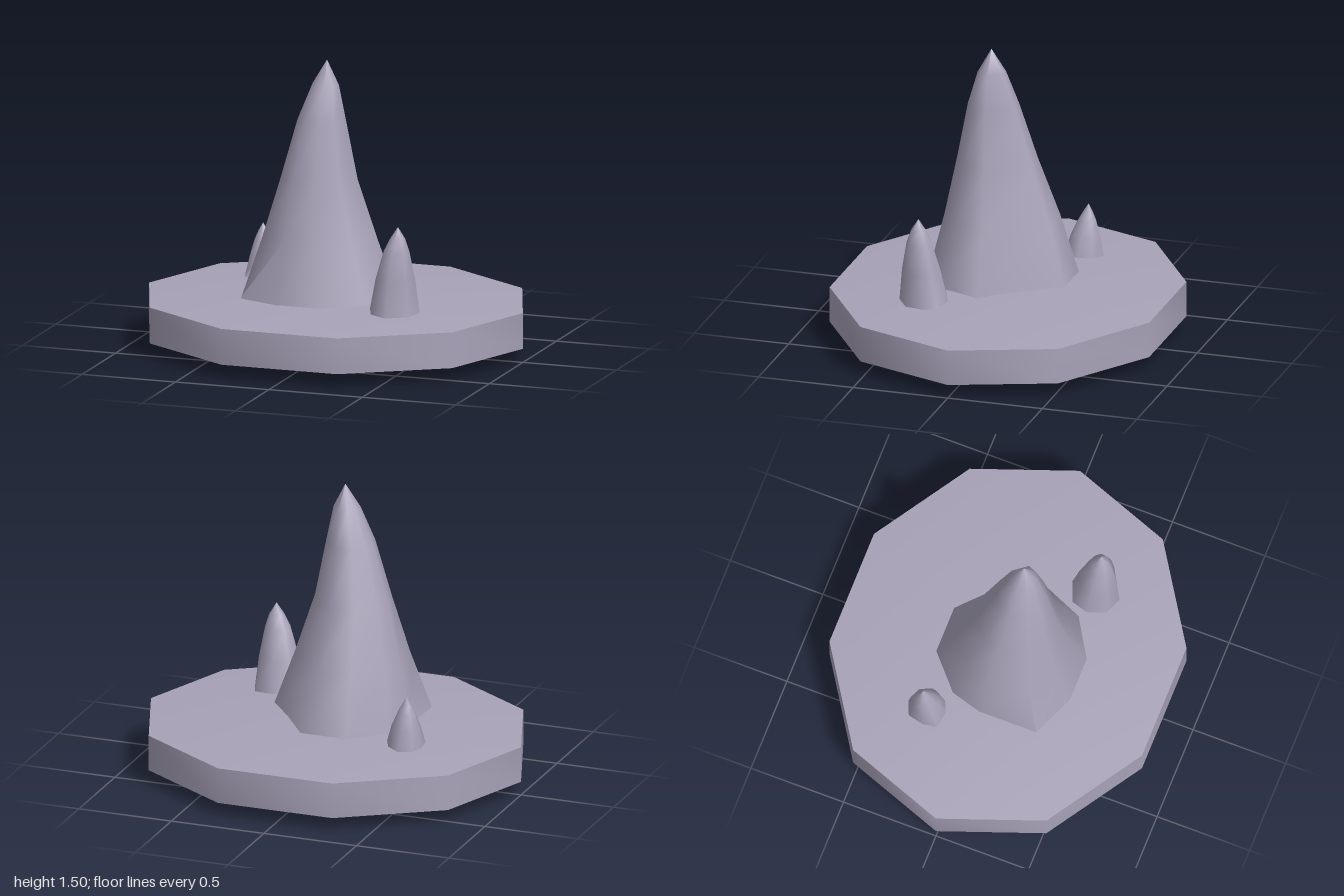
import * as THREE from 'three';
import { toCreasedNormals } from 'three/addons/utils/BufferGeometryUtils.js';

// Smooth skin through rings of [x, z] corners at rising heights, closed at both ends
function loft(rings) {
  const pos = [], index = [], n = rings[0].pts.length;
  for (const { y, pts } of rings) for (const [x, z] of pts) pos.push(x, y, z);
  for (let r = 0; r < rings.length - 1; r++) {
    for (let i = 0; i < n; i++) {
      const a = r * n + i, b = r * n + (i + 1) % n;
      index.push(a, a + n, b, b, a + n, b + n);
    }
  }
  for (let i = 1; i < n - 1; i++) index.push(0, i, i + 1); // underside
  const geo = new THREE.BufferGeometry();
  geo.setAttribute('position', new THREE.Float32BufferAttribute(pos, 3));
  geo.setIndex(index);
  return toCreasedNormals(geo, 1.1);
}

// Spire: an uneven footprint that grows rounder as it rises.
// levels: [height, centre x, centre z, radius, roundness]
function spire(foot, baseX, baseZ, baseR, levels) {
  const rings = levels.map(([y, cx, cz, r, round]) => ({
    y,
    pts: foot.map(([x, z]) => {
      const dx = (x - baseX) / baseR, dz = (z - baseZ) / baseR;
      const k = r * (1 - round + round / Math.hypot(dx, dz));
      return [cx + dx * k, cz + dz * k];
    }),
  }));
  return loft(rings);
}

export function createModel() {
  const model = new THREE.Group();
  const stone = new THREE.MeshStandardMaterial({ color: 0xa8a2b8 });
  stone.name = 'greyLilacStone';

  const add = (name, geo) => {
    const mesh = new THREE.Mesh(geo, stone);
    mesh.name = name;
    model.add(mesh);
  };

  // Ten-sided slab with shallow cones above and below
  const profile = [[0, 0], [1, 0.07], [1, 0.255], [0, 0.325]].map(p => new THREE.Vector2(...p));
  const slab = new THREE.LatheGeometry(profile, 10, Math.PI / 2);
  slab.scale(1, 1, 0.888);
  add('baseSlab', toCreasedNormals(slab, 0.8));

  // Tall central spire
  add('mainSpire', spire(
    [[0.353, 0.053], [0.257, 0.28], [0.06, 0.4], [-0.17, 0.4], [-0.395, 0.305],
      [-0.4, 0], [-0.353, -0.16], [-0.176, -0.318], [0.07, -0.318]],
    -0.02, 0.04, 0.37,
    [[0.025, -0.01, 0.04, 0.44, 0], [0.3, -0.02, 0.04, 0.37, 0], [0.6, -0.05, 0.05, 0.29, 0.6],
      [0.9, -0.06, 0.075, 0.205, 1], [1.2, -0.042, 0.09, 0.13, 1], [1.38, -0.022, 0.092, 0.072, 1],
      [1.505, -0.015, 0.092, 0.001, 1]],
  ));

  // Front left small spire
  add('leftSmallSpire', spire(
    [[0.545, 0.27], [0.52, 0.375], [0.42, 0.44], [0.33, 0.405],
      [0.29, 0.31], [0.315, 0.22], [0.42, 0.18], [0.52, 0.21]],
    0.42, 0.31, 0.13,
    [[0.025, 0.43, 0.3, 0.2, 0], [0.275, 0.42, 0.31, 0.13, 0], [0.45, 0.43, 0.32, 0.103, 0.6],
      [0.6, 0.44, 0.328, 0.067, 1], [0.67, 0.448, 0.33, 0.038, 1], [0.728, 0.45, 0.33, 0.001, 1]],
  ));

  // Back right small spire
  add('rightSmallSpire', spire(
    [[-0.37, -0.245], [-0.405, -0.18], [-0.465, -0.155], [-0.55, -0.17],
      [-0.56, -0.245], [-0.54, -0.325], [-0.47, -0.355], [-0.405, -0.315]],
    -0.465, -0.25, 0.098,
    [[0.025, -0.46, -0.24, 0.155, 0], [0.285, -0.465, -0.25, 0.098, 0], [0.38, -0.475, -0.258, 0.077, 0.6],
      [0.46, -0.483, -0.265, 0.047, 1], [0.505, -0.486, -0.268, 0.025, 1], [0.547, -0.487, -0.27, 0.001, 1]],
  ));

  return model;
}
